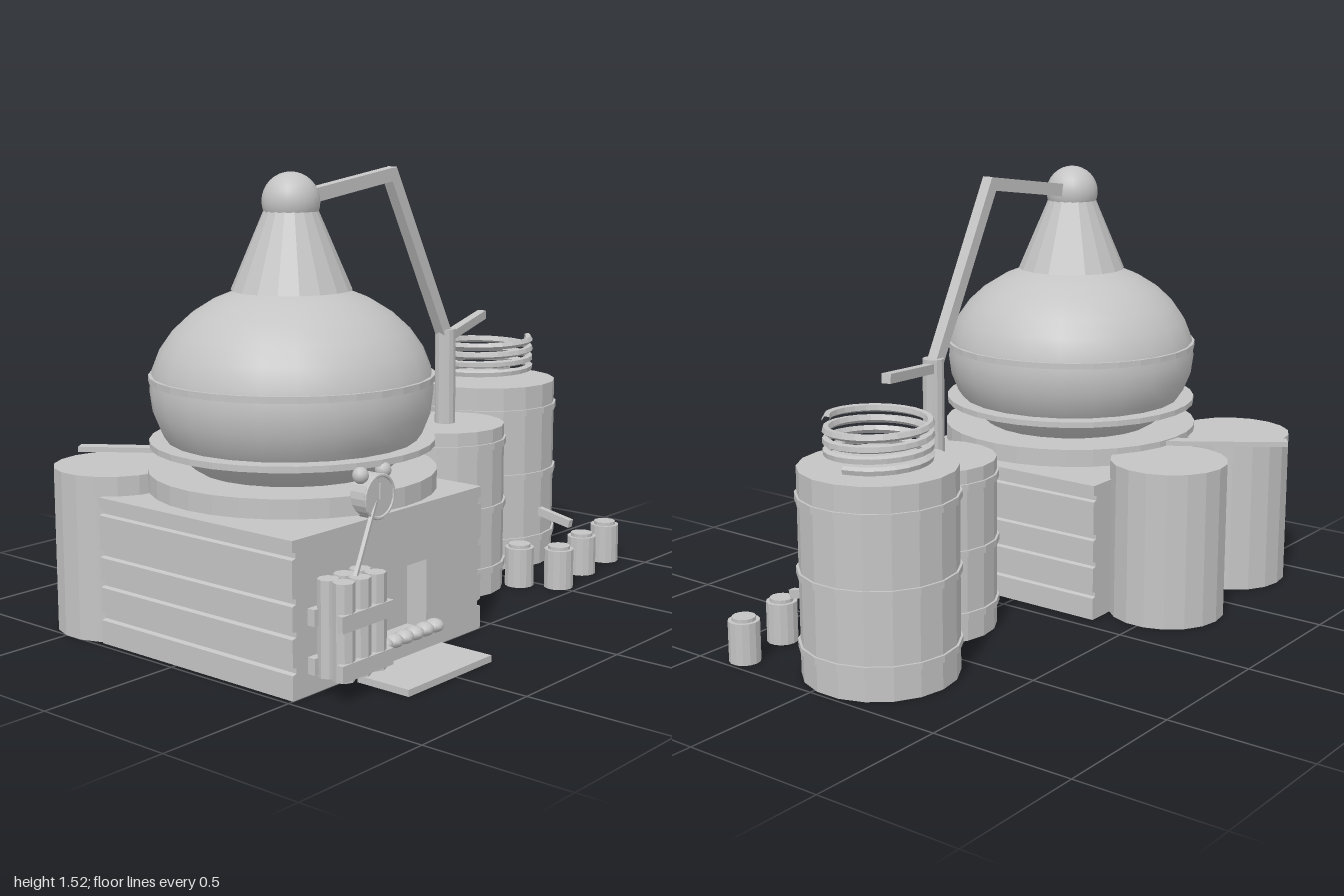
import * as THREE from 'three';

export function createModel() {
  const model = new THREE.Group();
  const facet = new THREE.MeshStandardMaterial({ color: 0xc4c4c4, flatShading: true });
  facet.name = 'light grey';
  const smooth = new THREE.MeshStandardMaterial({ color: 0xc4c4c4 });
  smooth.name = 'light grey smooth';
  const V = (x, y, z) => new THREE.Vector3(x, y, z);

  function add(name, geo, x, y, z, mat = facet, parent = model) {
    const m = new THREE.Mesh(geo, mat);
    m.name = name;
    m.position.set(x, y, z);
    parent.add(m);
    return m;
  }
  const box = (name, x0, x1, y0, y1, z0, z1) =>
    add(name, new THREE.BoxGeometry(x1 - x0, y1 - y0, z1 - z0), (x0 + x1) / 2, (y0 + y1) / 2, (z0 + z1) / 2);
  const cyl = (name, r, y0, y1, x, z, sides = 18, rTop = r, parent = model) =>
    add(name, new THREE.CylinderGeometry(rTop, r, y1 - y0, sides), x, (y0 + y1) / 2, z, facet, parent);

  // Bar of rectangular section between two points
  function bar(name, a, b, w, h) {
    const m = add(name, new THREE.BoxGeometry(w, h, a.distanceTo(b)), 0, 0, 0);
    m.position.copy(a).lerp(b, 0.5);
    m.lookAt(b);
    return m;
  }

  // Furnace: planked sides, extruded along z, with a firebox opening in the front part
  const cx = -0.52, cz = 0.08, half = 0.46, top = 0.487;
  function furnacePart(name, z0, z1, opening) {
    const pts = [];
    for (const y of [0.09, 0.2, 0.3, 0.44]) {
      pts.push([half, y - 0.012], [half - 0.016, y - 0.008], [half - 0.016, y + 0.008], [half, y + 0.012]);
    }
    const right = [[half, 0], ...pts, [half, top]];
    const left = right.map(([x, y]) => [-x, y]).reverse();
    const shape = new THREE.Shape([...right, ...left].map(([x, y]) => new THREE.Vector2(x, y)));
    if (opening) {
      shape.holes.push(new THREE.Path([[-0.2, 0.07], [-0.2, 0.3], [0.17, 0.3], [0.17, 0.07]]
        .map(([x, y]) => new THREE.Vector2(x, y))));
    }
    add(name, new THREE.ExtrudeGeometry(shape, { depth: z1 - z0, bevelEnabled: false }), cx, 0, z0);
  }
  furnacePart('furnaceBody', -0.345, 0.42, false);
  furnacePart('furnaceFront', 0.42, 0.5, true);
  box('hearthPlate', -0.73, -0.315, 0, 0.022, 0.535, 0.735);
  for (let i = 0; i < 7; i++) {
    const ember = add('ember', new THREE.SphereGeometry(0.03, 10, 8), -0.675 + i * 0.051, 0.095, 0.548, smooth);
    ember.scale.set(1, 0.75, 1.1);
  }

  // Pot with its rings, neck and ball
  cyl('potCollar', 0.468, 0.512, 0.574, cx, cz, 32);
  const pot = add('pot', new THREE.SphereGeometry(0.458, 24, 16), cx, 0.83, cz, smooth);
  pot.scale.y = 0.347 / 0.458;
  cyl('lowerRing', 0.462, 0.652, 0.672, cx, cz, 32);
  cyl('middleRing', 0.461, 0.861, 0.882, cx, cz, 32);
  cyl('neck', 0.195, 1.15, 1.42, cx, cz, 18, 0.08);
  add('neckBall', new THREE.SphereGeometry(0.094, 20, 16), cx, 1.43, cz, smooth);

  // Vapour line
  bar('upperArm', V(-0.46, 1.44, cz), V(-0.025, 1.5, cz), 0.04, 0.045);
  bar('slopingArm', V(-0.035, 1.515, cz), V(0.272, 0.93, cz), 0.04, 0.042);
  cyl('uprightPipe', 0.037, 0.58, 0.94, 0.285, cz, 12);
  bar('crossPipe', V(0.285, 0.907, 0.08), V(0.645, 0.948, -0.025), 0.032, 0.032);

  // Banded barrels
  function barrel(name, x, z, r, h, bands) {
    const g = new THREE.Group();
    g.name = name;
    model.add(g);
    cyl('barrelBody', r, 0, h, x, z, 18, r, g);
    for (const y of bands) cyl('barrelBand', r + 0.008, y - 0.012, y + 0.012, x, z, 18, r + 0.008, g);
  }
  barrel('smallBarrel', 0.285, 0.08, 0.214, 0.6, [0.09, 0.31, 0.54]);
  barrel('largeBarrel', 0.73, -0.06, 0.258, 0.692, [0.105, 0.35, 0.595]);
  barrel('rearBarrelA', -0.8, -0.465, 0.206, 0.552, []);
  barrel('rearBarrelB', -0.31, -0.49, 0.206, 0.552, []);

  // Cooling coil
  const coil = [];
  for (let i = 0; i <= 48; i++) {
    const a = i / 48 * Math.PI * 7.8;
    coil.push(V(0.73 + 0.165 * Math.cos(a), 0.71 + i / 48 * 0.137, -0.065 - 0.165 * Math.sin(a)));
  }
  add('coolingCoil', new THREE.TubeGeometry(new THREE.CatmullRomCurve3(coil), 96, 0.014, 5), 0, 0, 0);

  // Spout and jars
  bar('spout', V(0.73, 0.208, 0.18), V(0.73, 0.178, 0.335), 0.025, 0.03);
  for (const [x, z] of [[0.45, 0.3], [0.52, 0.425], [0.73, 0.385], [0.935, 0.355]]) {
    cyl('jar', 0.053, 0, 0.142, x, z, 14);
    cyl('jarLid', 0.04, 0.142, 0.154, x, z, 14);
  }

  // Flat flue over the rear barrels
  bar('flue', V(-0.735, 0.56, -0.725), V(-0.45, 0.56, -0.32), 0.05, 0.018);

  // Stick bundle held by two bands
  for (let i = 0; i < 3; i++) {
    for (const z of [0.543, 0.603]) cyl('stick', 0.034, 0.06, 0.36, -0.87 + i * 0.072, z, 8);
  }
  for (const y of [0.09, 0.24]) {
    box('bundleBandFront', -0.915, -0.682, y - 0.022, y + 0.03, 0.615, 0.638);
    box('bundleBandBack', -0.915, -0.682, y - 0.022, y + 0.03, 0.5, 0.528);
  }

  // Round dial with two small balls, hand and thin rod
  const dial = add('dial', new THREE.CylinderGeometry(0.07, 0.07, 0.06, 20), -0.65, 0.568, 0.527);
  dial.rotation.x = Math.PI / 2;
  const rim = add('dialRim', new THREE.TorusGeometry(0.066, 0.006, 6, 24), -0.65, 0.568, 0.557);
  rim.scale.z = 0.7;
  box('dialHand', -0.654, -0.646, 0.56, 0.61, 0.556, 0.562);
  for (const s of [-1, 1]) add('dialBall', new THREE.SphereGeometry(0.026, 12, 8), -0.65 + s * 0.053, 0.638, 0.525, smooth);
  bar('rod', V(-0.66, 0.56, 0.55), V(-0.81, 0.34, 0.59), 0.012, 0.012);

  return model;
}
